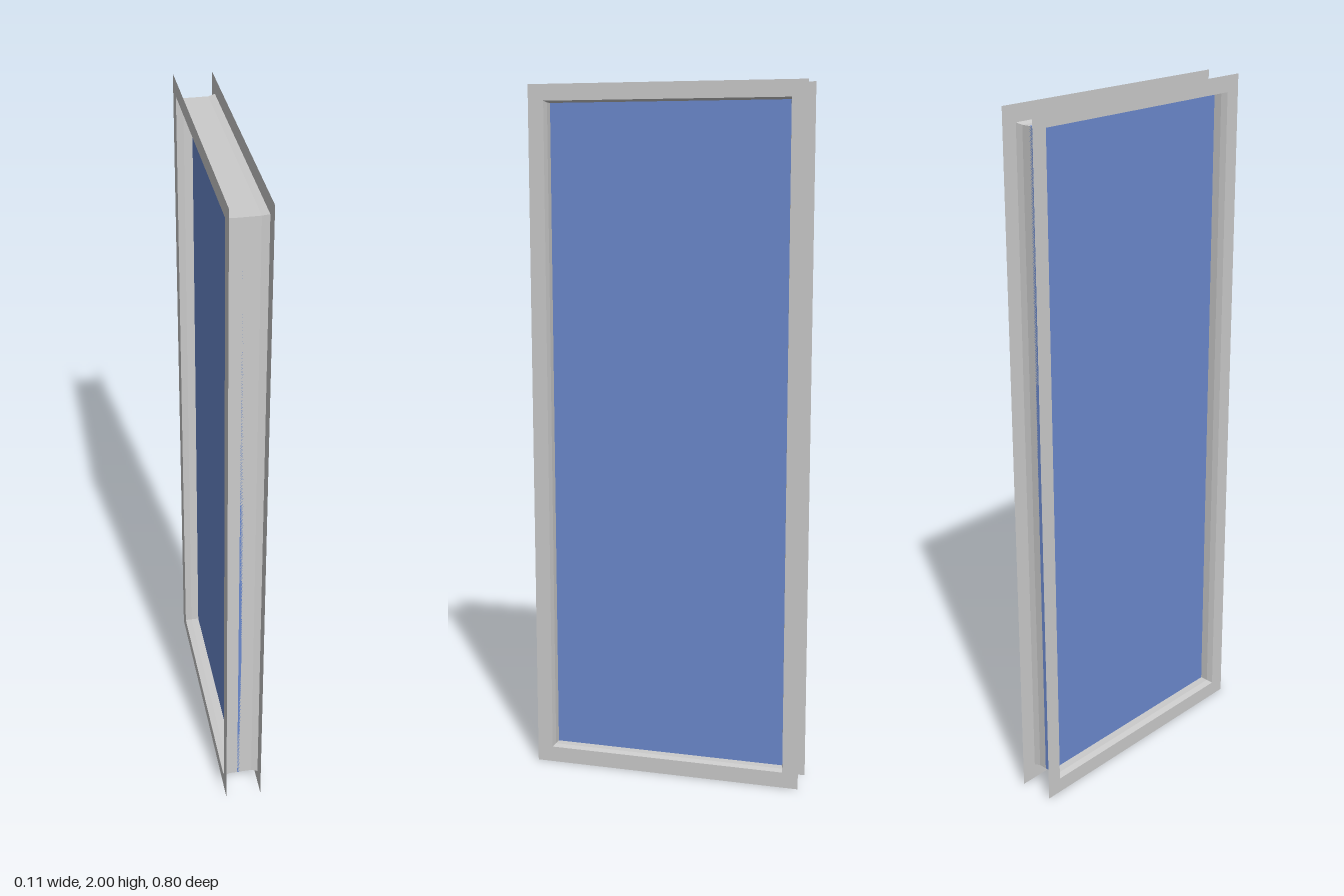
import * as THREE from 'three';

const W = 0.8, H = 2, HALF_DEPTH = 0.053; // overall width (z), height (y), half depth (x)
const grey = new THREE.MeshStandardMaterial({ color: 0xcccccc, flatShading: true, side: THREE.DoubleSide });
const blue = new THREE.MeshStandardMaterial({ color: 0x6b89ce });

// Corners of the opening, inset from the outer edge, as [z, y]
const opening = (inset) => {
  const z = W / 2 - inset;
  return [[-z, inset], [z, inset], [z, H - inset], [-z, H - inset]];
};
const LIP = 0.046, THROAT = 0.05;

// Flat rectangular face frame with a cut-out, lying in the yz plane
function faceFrame(x, name) {
  const toPoints = (inset) => opening(inset).map(([z, y]) => new THREE.Vector2(z, y));
  const shape = new THREE.Shape(toPoints(0));
  shape.holes.push(new THREE.Path(toPoints(LIP).reverse()));
  const geo = new THREE.ShapeGeometry(shape);
  geo.rotateY(x > 0 ? Math.PI / 2 : -Math.PI / 2);
  const mesh = new THREE.Mesh(geo, grey);
  mesh.position.x = x;
  mesh.name = name;
  return mesh;
}

// Thin lining joining the two face frames, flared slightly at both ends
function lining() {
  const sections = [[-HALF_DEPTH, LIP], [-0.034, THROAT], [0.034, THROAT], [HALF_DEPTH, LIP]];
  const positions = [], index = [];
  for (const [x, inset] of sections)
    for (const [z, y] of opening(inset)) positions.push(x, y, z);
  for (let s = 0; s < sections.length - 1; s++)
    for (let i = 0; i < 4; i++) {
      const a = s * 4 + i, b = s * 4 + (i + 1) % 4;
      index.push(a, b, b + 4, a, b + 4, a + 4);
    }
  let geo = new THREE.BufferGeometry();
  geo.setAttribute('position', new THREE.Float32BufferAttribute(positions, 3));
  geo.setIndex(index);
  geo = geo.toNonIndexed();
  geo.computeVertexNormals();
  const mesh = new THREE.Mesh(geo, grey);
  mesh.name = 'lining';
  return mesh;
}

export function createModel() {
  const group = new THREE.Group();
  group.name = 'window';
  group.add(faceFrame(HALF_DEPTH, 'leftFaceFrame'), faceFrame(-HALF_DEPTH, 'rightFaceFrame'), lining());

  // Glass pane set midway in the lining
  const pane = new THREE.Mesh(new THREE.BoxGeometry(0.02, H - 2 * THROAT, W - 2 * THROAT), blue);
  pane.position.y = H / 2;
  pane.name = 'glassPane';
  group.add(pane);
  return group;
}
